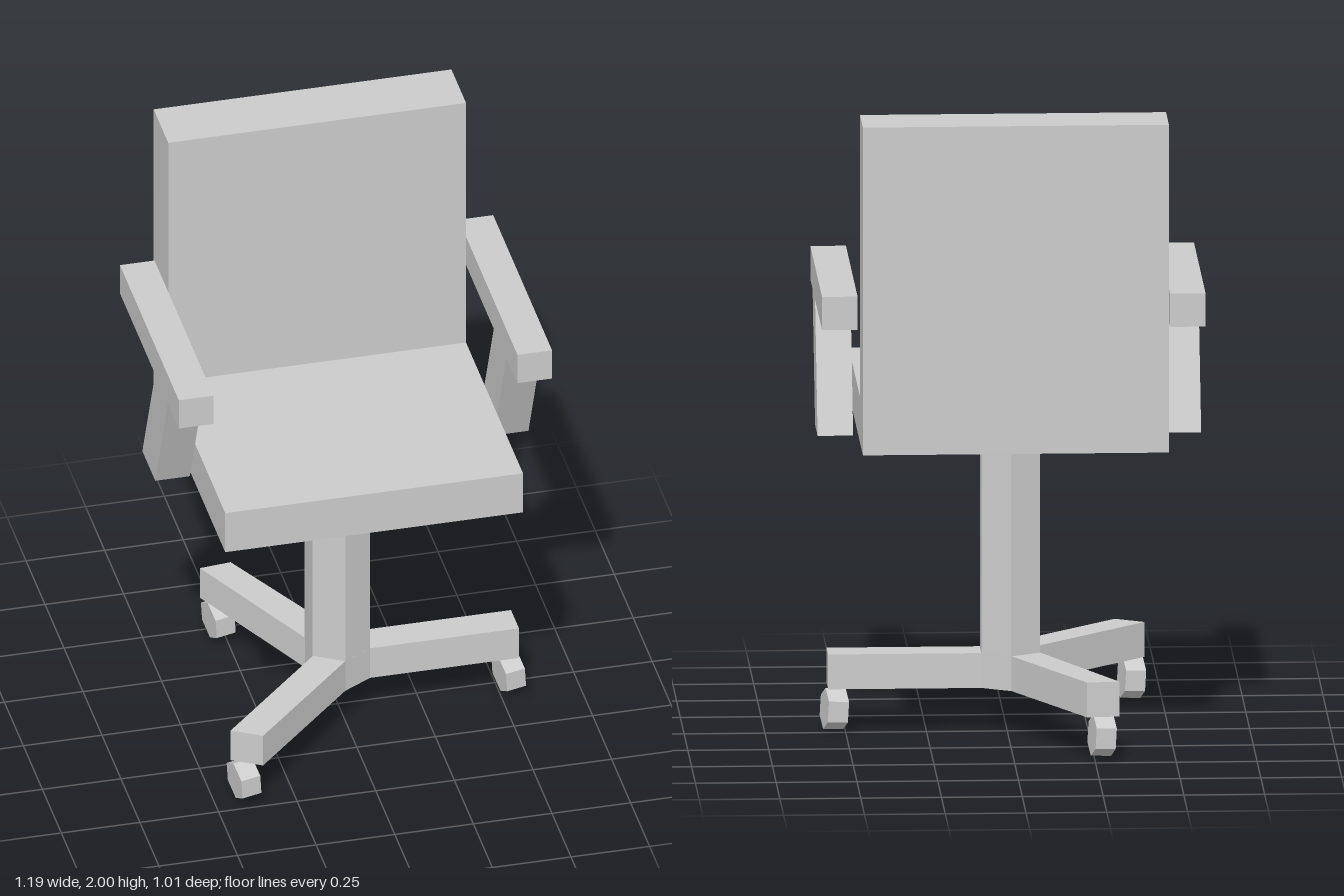
import * as THREE from 'three';

const material = new THREE.MeshStandardMaterial({ color: 0xcccccc, flatShading: true });

function addMesh(parent, name, geometry) {
  const mesh = new THREE.Mesh(geometry, material);
  mesh.name = name;
  parent.add(mesh);
  return mesh;
}

function extrude(points, depth) {
  const shape = new THREE.Shape(points.map(([a, b]) => new THREE.Vector2(a, b)));
  return new THREE.ExtrudeGeometry(shape, { depth, bevelEnabled: false });
}

// Side profile given as (z, y), spanning x0 to x1
function sideProfile(points, x0, x1) {
  return extrude(points, x1 - x0).rotateY(-Math.PI / 2).translate(x1, 0, 0);
}

export function createModel() {
  const chair = new THREE.Group();
  chair.name = 'officeChair';

  // Seat and backrest as one L-shaped block
  addMesh(chair, 'seatAndBackrest', sideProfile([
    [0.505, 0.965], [0.505, 1.11], [-0.245, 1.11],
    [-0.245, 2], [-0.437, 2], [-0.437, 0.965],
  ], -0.48, 0.467));

  // Armrests: level bar on a slanted post
  const arm = [
    [0.37, 1.355], [0.37, 1.46], [-0.405, 1.46], [-0.405, 1.355],
    [0.058, 1.355], [-0.11, 0.96], [0.06, 0.96], [0.225, 1.355],
  ];
  addMesh(chair, 'rightArmrest', sideProfile(arm, -0.595, -0.485));
  addMesh(chair, 'leftArmrest', sideProfile(arm, 0.482, 0.592));

  // Hexagonal column
  addMesh(chair, 'column', new THREE.CylinderGeometry(0.105, 0.105, 0.7, 6))
    .position.set(-0.01, 0.6, 0.035);

  // Three legs spreading from alternate column faces, plan outline as (x, z)
  const plan = [
    [0.555, -0.017], [0.555, 0.088], [0.081, 0.088],
    [-0.01, 0.14], [-0.355, 0.485], [-0.445, 0.432], [-0.101, 0.088],
    [-0.101, -0.017], [-0.325, -0.47], [-0.225, -0.48], [-0.01, -0.07],
    [0.081, -0.017],
  ];
  addMesh(chair, 'legs', extrude(plan, 0.11).rotateX(Math.PI / 2).translate(0, 0.25, 0));

  // Six-sided casters, slightly tilted and turned
  const wheel = new THREE.CylinderGeometry(0.065, 0.065, 0.064, 6)
    .rotateY(Math.PI / 2).rotateZ(-Math.PI / 2 + 0.06).rotateY(0.18);
  const wheels = {
    leftCaster: [0.533, 0.067, 0.043],
    frontRightCaster: [-0.405, 0.074, 0.442],
    backRightCaster: [-0.273, 0.076, -0.443],
  };
  for (const [name, position] of Object.entries(wheels)) {
    addMesh(chair, name, wheel).position.set(...position);
  }

  return chair;
}
